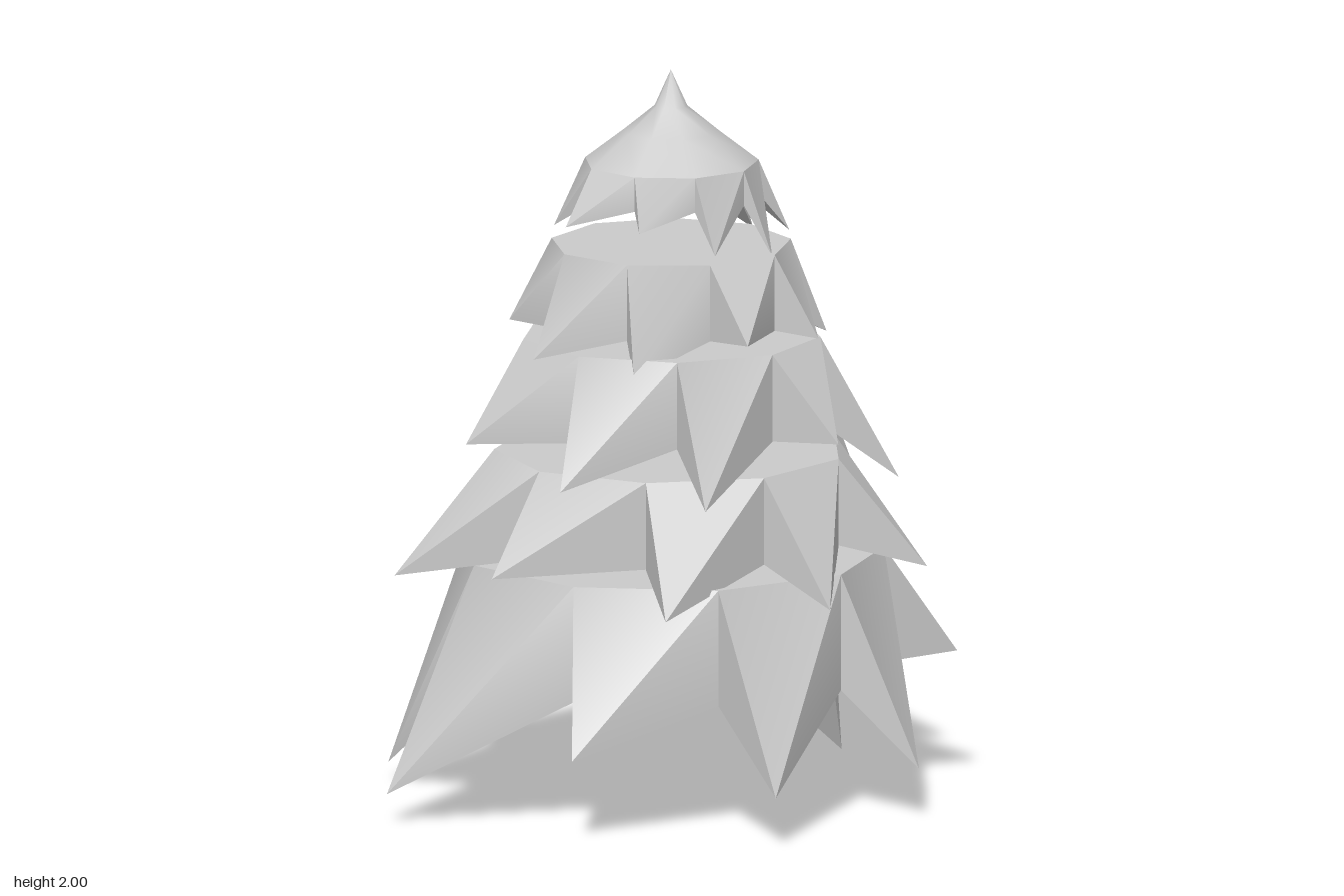
import * as THREE from 'three';
import { toCreasedNormals } from 'three/addons/utils/BufferGeometryUtils.js';

const TEETH = 9;
const STEP = (Math.PI * 2) / TEETH;
const SWIRL = THREE.MathUtils.degToRad(7); // every tip hangs just past its first corner
const CX = 0.02, CZ = 0.03;                // tree axis, slightly off centre

// Each tier: ring height, notch height, ring radius and first corner angle,
// then how far out and how low each branch tip reaches.
const TIERS = [
  { name: 'bottomTier', top: 0.67, notch: 0.35, radius: 0.58, phase: -2,
    reach: [0.78, 0.79, 0.72, 0.82, 0.86, 0.78, 0.89, 0.78, 0.84],
    tipY: [0.14, 0.36, 0, 0.14, 0.36, 0.05, 0.08, 0.23, 0.14] },
  { name: 'lowerTier', top: 0.95, notch: 0.71, radius: 0.48, phase: 17,
    reach: [0.71, 0.68, 0.77, 0.7, 0.73, 0.76, 0.74, 0.7, 0.69],
    tipY: [0.65, 0.6, 0.45, 0.64, 0.56, 0.62, 0.7, 0.61, 0.61] },
  { name: 'middleTier', top: 1.27, notch: 1.03, radius: 0.41, phase: 27.5,
    reach: [0.62, 0.64, 0.6, 0.65, 0.56, 0.59, 0.59, 0.58, 0.6],
    tipY: [0.87, 0.82, 1.08, 0.87, 0.97, 1, 0.93, 0.89, 1.04] },
  { name: 'upperTier', top: 1.52, notch: 1.31, radius: 0.33, phase: 4,
    reach: [0.44, 0.44, 0.56, 0.49, 0.46, 0.44, 0.46, 0.41, 0.48],
    tipY: [1.29, 1.25, 1.24, 1.2, 1.28, 1.3, 1.25, 1.22, 1.32] },
  { name: 'crownTier', top: 1.745, notch: 1.65, radius: 0.24, phase: 1, pointed: true,
    reach: [0.31, 0.33, 0.37, 0.33, 0.37, 0.32, 0.34, 0.29, 0.31],
    tipY: [1.51, 1.54, 1.5, 1.56, 1.53, 1.56, 1.6, 1.6, 1.54] },
];

// Jagged skirt: a flat ring with a pointed tooth hanging from every side
function skirtGeometry({ top, notch, radius, phase, reach, tipY, pointed }) {
  const start = THREE.MathUtils.degToRad(phase);
  const around = (angle, r, y) => [CX + r * Math.sin(angle), y, CZ + r * Math.cos(angle)];
  const positions = [];
  const face = (...corners) => corners.forEach((c) => positions.push(...c));
  for (let i = 0; i < TEETH; i++) {
    const from = start + i * STEP, to = from + STEP;
    const a = around(from, radius, top), b = around(to, radius, top);
    const na = around(from, radius, notch), nb = around(to, radius, notch);
    const tip = around(from + SWIRL, reach[i], tipY[i]);
    face(a, tip, b);               // outer face
    face(a, na, tip);              // sides
    face(tip, nb, b);
    face(na, nb, tip);             // underside
    face([CX, notch, CZ], nb, na);
    if (!pointed) face([CX, top, CZ], a, b);
  }
  const geometry = new THREE.BufferGeometry();
  geometry.setAttribute('position', new THREE.Float32BufferAttribute(positions, 3));
  return toCreasedNormals(geometry, 0.55);
}

export function createModel() {
  const tree = new THREE.Group();
  tree.name = 'pineTree';
  const material = new THREE.MeshStandardMaterial({ color: 0xcccccc, side: THREE.DoubleSide });

  for (const tier of TIERS) {
    const mesh = new THREE.Mesh(skirtGeometry(tier), material);
    mesh.name = tier.name;
    tree.add(mesh);
  }

  // Pointed top, its sides lined up with the crown skirt
  const crown = TIERS[TIERS.length - 1];
  const profile = [[crown.radius, crown.top], [0.13, 1.83], [0.045, 1.9], [0, 2]]
    .map(([r, y]) => new THREE.Vector2(r, y));
  const peak = new THREE.Mesh(
    new THREE.LatheGeometry(profile, TEETH, THREE.MathUtils.degToRad(crown.phase)),
    material,
  );
  peak.name = 'treeTop';
  peak.position.set(CX, 0, CZ);
  tree.add(peak);

  return tree;
}
